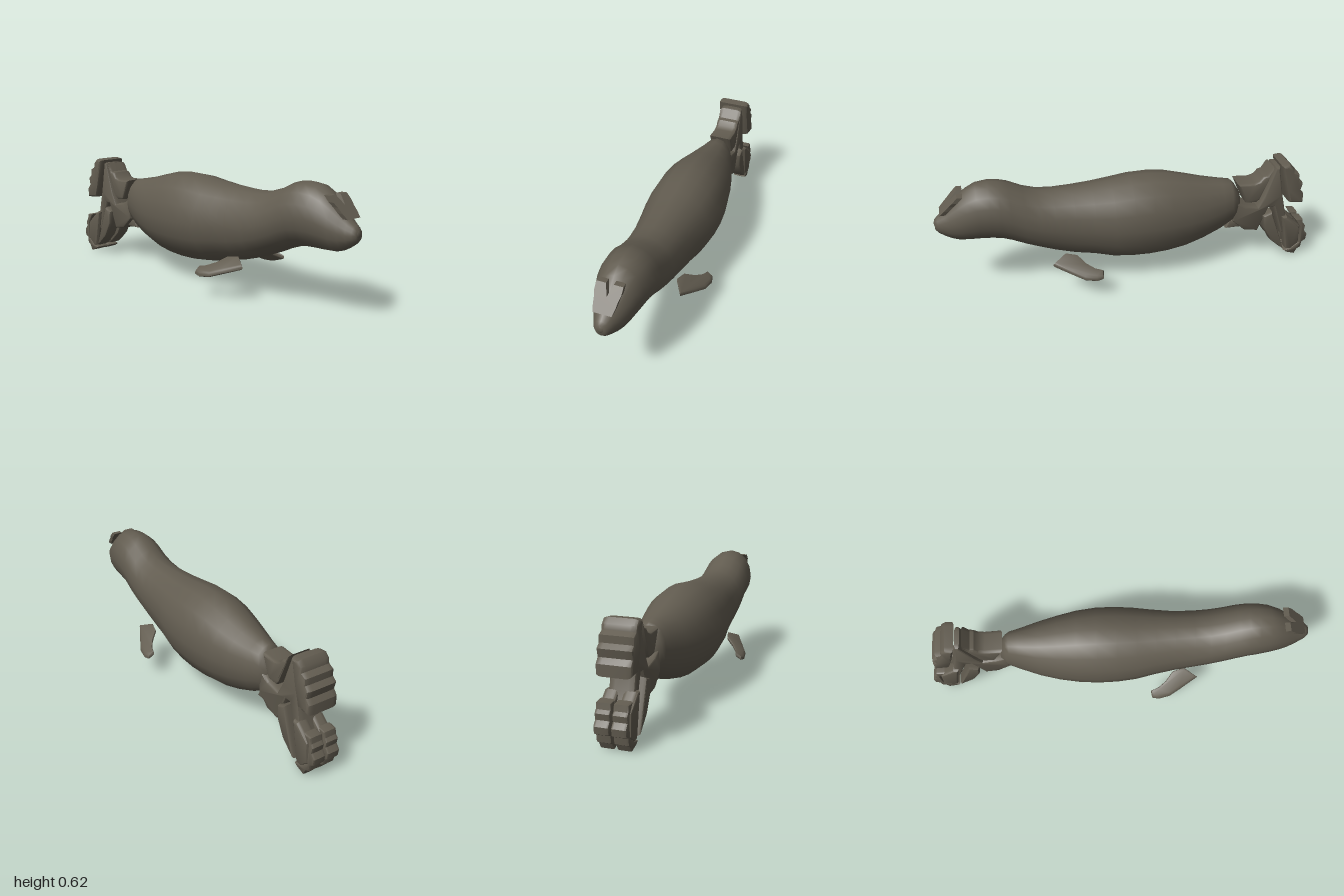
import * as THREE from 'three';
import { toCreasedNormals } from 'three/addons/utils/BufferGeometryUtils.js';

const hide = new THREE.MeshStandardMaterial({ color: 0x625c50 });
hide.name = 'greyBrownHide';

// Closed loft of elliptical rings along x; each station is [x, bottom, top, halfWidth]
function loft(stations, sides) {
  const pos = [], index = [];
  for (const [x, lo, hi, w] of stations) {
    for (let j = 0; j < sides; j++) {
      const a = (j / sides) * Math.PI * 2;
      pos.push(x, (lo + hi) / 2 + (Math.sin(a) * (hi - lo)) / 2, Math.cos(a) * w);
    }
  }
  const n = stations.length;
  for (let i = 0; i < n - 1; i++) {
    for (let j = 0; j < sides; j++) {
      const k = (j + 1) % sides;
      const a = i * sides + j, b = i * sides + k, c = a + sides, d = b + sides;
      index.push(a, c, b, b, c, d);
    }
  }
  for (const i of [0, n - 1]) {
    const [x, lo, hi] = stations[i];
    const centre = pos.length / 3;
    pos.push(x, (lo + hi) / 2, 0);
    for (let j = 0; j < sides; j++) {
      const a = i * sides + j, b = i * sides + ((j + 1) % sides);
      if (i === 0) index.push(centre, a, b);
      else index.push(centre, b, a);
    }
  }
  const g = new THREE.BufferGeometry();
  g.setAttribute('position', new THREE.Float32BufferAttribute(pos, 3));
  g.setIndex(index);
  g.computeVertexNormals();
  return g;
}

function outline(points) {
  return new THREE.Shape(points.map(([x, y]) => new THREE.Vector2(x, y)));
}

// Outline extruded from z0 to z1 with softened sides
function slab(points, z0, z1, bevelDepth, bevelSize) {
  const g = new THREE.ExtrudeGeometry(outline(points), {
    depth: z1 - z0 - 2 * bevelDepth, bevelEnabled: true, bevelThickness: bevelDepth,
    bevelSize, bevelOffset: -bevelSize, bevelSegments: 3,
  });
  g.translate(0, 0, z0 + bevelDepth);
  return toCreasedNormals(g, 0.6);
}

export function createModel() {
  const model = new THREE.Group();
  const add = (name, geometry) => {
    const mesh = new THREE.Mesh(geometry, hide);
    mesh.name = name;
    model.add(mesh);
    return mesh;
  };
  const addPair = (name, points, z0, z1, depth, size) => {
    add(name + 'Left', slab(points, z0, z1, depth, size));
    add(name + 'Right', slab(points, -z1, -z0, depth, size));
  };

  // Body and head
  add('body', loft([
    [-0.6, 0.27, 0.41, 0.05], [-0.57, 0.235, 0.46, 0.075], [-0.55, 0.225, 0.48, 0.085],
    [-0.5, 0.195, 0.488, 0.102], [-0.4, 0.155, 0.508, 0.137], [-0.3, 0.125, 0.535, 0.163],
    [-0.2, 0.11, 0.56, 0.182], [-0.1, 0.105, 0.57, 0.192], [0, 0.108, 0.568, 0.192],
    [0.1, 0.12, 0.555, 0.183], [0.2, 0.147, 0.545, 0.165], [0.3, 0.165, 0.54, 0.15],
    [0.4, 0.195, 0.537, 0.143], [0.48, 0.225, 0.543, 0.14], [0.55, 0.253, 0.565, 0.137],
    [0.62, 0.285, 0.6, 0.134], [0.67, 0.303, 0.615, 0.131], [0.72, 0.311, 0.62, 0.127],
    [0.78, 0.314, 0.613, 0.117], [0.83, 0.314, 0.588, 0.104], [0.88, 0.316, 0.545, 0.086],
    [0.92, 0.328, 0.505, 0.067], [0.955, 0.347, 0.472, 0.05], [0.98, 0.365, 0.452, 0.038],
    [0.995, 0.382, 0.438, 0.024],
  ], 16));

  // Nose
  const nose = add('nose', new THREE.SphereGeometry(1, 16, 12));
  nose.scale.set(0.035, 0.037, 0.031);
  nose.position.set(0.965, 0.415, 0);

  // Notched brow plate lying on the slope of the face
  const brow = new THREE.ExtrudeGeometry(outline([
    [-0.045, 0.48], [0.045, 0.48], [0.053, 0.505], [0.057, 0.53], [0.064, 0.55],
    [0.064, 0.578], [0.018, 0.578], [0, 0.535], [-0.018, 0.578], [-0.064, 0.578],
    [-0.064, 0.55], [-0.057, 0.53], [-0.053, 0.505],
  ]), { depth: 0.028, bevelEnabled: false });
  brow.rotateY(Math.PI / 2);
  const bp = brow.attributes.position;
  for (let i = 0; i < bp.count; i++) bp.setX(i, bp.getX(i) + 0.845 + (0.578 - bp.getY(i)) * 0.95);
  brow.computeVertexNormals();
  add('browPlate', brow);

  // Fore flippers, flat outlines sloping down and outwards
  for (const side of [1, -1]) {
    const points = [[0.43, 0.15], [0.34, 0.2], [0.28, 0.232], [0.22, 0.243], [0.185, 0.236],
      [0.18, 0.205], [0.22, 0.192], [0.26, 0.165], [0.3, 0.12], [0.36, 0.105]];
    const g = new THREE.ExtrudeGeometry(outline(points.map(([x, z]) => [x, -side * z])), {
      depth: 0.008, bevelEnabled: true, bevelThickness: 0.009, bevelSize: 0.012,
      bevelOffset: -0.012, bevelSegments: 2,
    });
    g.rotateX(-Math.PI / 2);
    const p = g.attributes.position;
    for (let i = 0; i < p.count; i++) {
      p.setY(i, p.getY(i) + 0.178 - (Math.abs(p.getZ(i)) - 0.14) * 0.66);
    }
    g.computeVertexNormals();
    add(side > 0 ? 'foreFlipperLeft' : 'foreFlipperRight', toCreasedNormals(g, 0.6));
  }

  // Tail stock rising to a peak and folding down into the rear leg
  add('tailStock', slab([
    [-0.56, 0.25], [-0.56, 0.38], [-0.63, 0.335], [-0.7, 0.32], [-0.73, 0.38], [-0.785, 0.55],
    [-0.81, 0.55], [-0.84, 0.38], [-0.87, 0.25], [-0.9, 0.18], [-0.85, 0.13], [-0.79, 0.31],
    [-0.765, 0.31], [-0.71, 0.17], [-0.63, 0.185],
  ], -0.062, 0.062, 0.03, 0.012));
  add('tailKeel', slab([[-0.62, 0.2], [-0.53, 0.2], [-0.55, 0.245], [-0.59, 0.245]],
    -0.04, 0.04, 0.01, 0.006));

  // Upper tail blocks
  add('upperTailBlock', slab([
    [-0.775, 0.55], [-0.74, 0.505], [-0.72, 0.5], [-0.7, 0.475], [-0.67, 0.465], [-0.58, 0.47],
    [-0.63, 0.355], [-0.69, 0.35], [-0.71, 0.37],
  ].reverse(), -0.062, 0.062, 0.02, 0.012));
  add('upperTailFin', slab([
    [-0.81, 0.565], [-0.855, 0.57], [-0.88, 0.545], [-0.885, 0.52], [-0.915, 0.505],
    [-0.915, 0.47], [-0.94, 0.45], [-0.93, 0.41], [-0.95, 0.385], [-0.95, 0.33],
    [-0.87, 0.34], [-0.845, 0.42], [-0.825, 0.5],
  ], -0.085, 0.085, 0.03, 0.012));

  // Paired hind feet with scalloped toe rims
  addPair('hindFoot', [
    [-0.84, 0.25], [-0.87, 0.25], [-0.95, 0.18], [-0.955, 0.07], [-0.91, 0.035], [-0.88, 0.04],
  ], 0.012, 0.08, 0.02, 0.012);
  addPair('lowerTailBlock', [
    [-0.78, 0.29], [-0.865, 0.045], [-0.84, 0.06], [-0.78, 0.115], [-0.735, 0.2], [-0.73, 0.27],
  ], 0.008, 0.083, 0.02, 0.01);
  addPair('toeRim', [
    [-0.92, 0.225], [-0.965, 0.22], [-0.97, 0.19], [-0.985, 0.175], [-0.98, 0.145], [-1, 0.12],
    [-0.995, 0.085], [-0.975, 0.075], [-0.97, 0.04], [-0.95, 0.03], [-0.935, 0], [-0.89, 0.015],
    [-0.87, 0.03], [-0.91, 0.04], [-0.955, 0.07], [-0.955, 0.17],
  ], 0.006, 0.077, 0.012, 0.005);

  return model;
}
